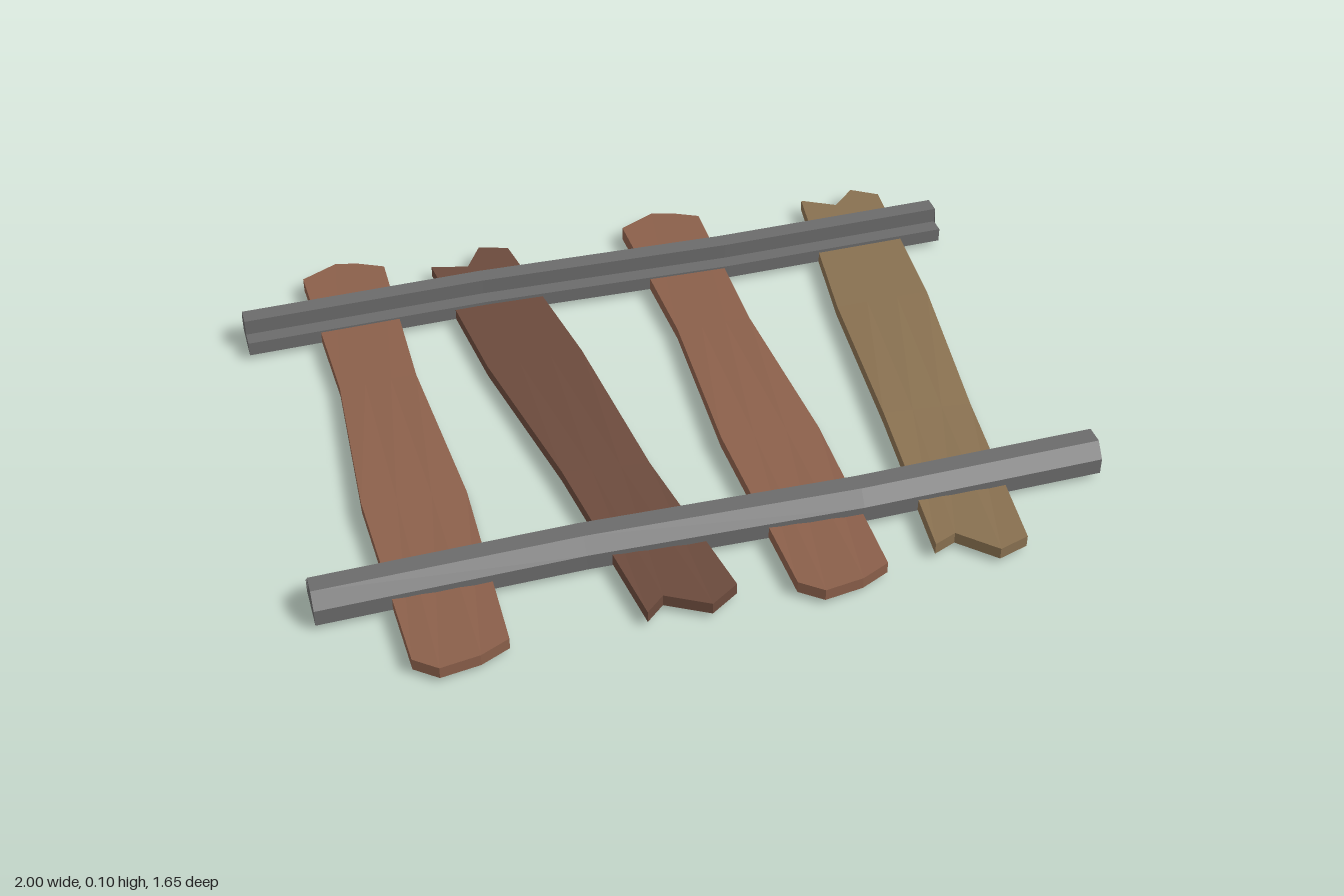
import * as THREE from 'three';

// Lofts sections along +z. Each section is a list of columns [bottom, top],
// ordered from -x to +x, every point being [x, y, z].
function loft(sections) {
  const pos = [];
  const quad = (a, b, c, d) => pos.push(...a, ...b, ...c, ...a, ...c, ...d);
  const n = sections[0].length;
  for (let s = 0; s < sections.length - 1; s++) {
    const p = sections[s], q = sections[s + 1];
    for (let i = 0; i < n - 1; i++) {
      quad(p[i][0], p[i + 1][0], q[i + 1][0], q[i][0]); // underside
      quad(p[i + 1][1], p[i][1], q[i][1], q[i + 1][1]); // top
    }
    quad(p[n - 1][0], p[n - 1][1], q[n - 1][1], q[n - 1][0]); // +x side
    quad(p[0][1], p[0][0], q[0][0], q[0][1]); // -x side
  }
  const first = sections[0], last = sections[sections.length - 1];
  for (let i = 0; i < n - 1; i++) {
    quad(first[i + 1][0], first[i][0], first[i][1], first[i + 1][1]);
    quad(last[i][0], last[i + 1][0], last[i + 1][1], last[i][1]);
  }
  const g = new THREE.BufferGeometry();
  g.setAttribute('position', new THREE.Float32BufferAttribute(pos, 3));
  g.computeVertexNormals();
  return g;
}

// Plank outline: four [x, z] points at each end, and [left, right, z] rows between
const straight = {
  back: [[-0.115, -0.78], [-0.015, -0.83], [0.045, -0.815], [0.115, -0.78]],
  mid: [[-0.1, 0.105, -0.27], [-0.13, 0.135, 0.22]],
  front: [[-0.115, 0.78], [-0.06, 0.825], [0.04, 0.81], [0.115, 0.775]],
  backLift: 0.008,
};
const splitDark = {
  back: [[-0.45, -0.75], [-0.35, -0.725], [-0.3, -0.81], [-0.22, -0.785]],
  mid: [[-0.4, -0.14, -0.25], [-0.32, -0.09, 0.24]],
  front: [[-0.25, 0.78], [-0.2, 0.735], [-0.095, 0.795], [-0.02, 0.745]],
  backLift: 0,
};
const splitTan = {
  back: [[0.67, -0.785], [0.76, -0.735], [0.83, -0.8], [0.9, -0.755]],
  mid: [[0.59, 0.855, -0.25], [0.54, 0.785, 0.24]],
  front: [[0.485, 0.745], [0.545, 0.72], [0.63, 0.805], [0.71, 0.78]],
  backLift: 0,
};

function plank(name, outline, x, color) {
  const { back, mid, front, backLift } = outline;
  const rows = [
    back,
    ...mid.map(([l, r, z]) => [0, 1, 2, 3].map(i => [l + (r - l) * i / 3, z])),
    front,
  ];
  const sections = rows.map((row, k) => row.map(([px, z], i) => {
    const twist = k === 2 ? 0.01 - 0.025 * i / 3 : 0; // warped near the front
    const top = 0.046 + twist + (k === 0 ? backLift : 0);
    return [[px + x, 0.015 + twist, z], [px + x, top, z]];
  }));
  const mesh = new THREE.Mesh(loft(sections),
    new THREE.MeshStandardMaterial({ color, flatShading: true }));
  mesh.name = name;
  return mesh;
}

// Rail profile columns from the stepped inner side outwards: [bottom u, top u, top y]
const profile = [
  [0, 0, 0.055], [0.03, 0.043, 0.055], [0.05, 0.043, 0.098],
  [0.092, 0.092, 0.098], [0.122, 0.122, 0.06],
];
const bends = [[-1, 0], [-0.34, -0.011], [0.36, 0.009], [1, 0]];

// side is +1 for the front rail and -1 for the back rail
function rail(name, side, inner) {
  const cols = side > 0 ? [...profile].reverse() : profile;
  const sections = bends.map(([x, dz]) => cols.map(([b, t, y]) => [
    [-(side * (inner + b) + dz), 0.016, x],
    [-(side * (inner + t) + dz), y, x],
  ]));
  const g = loft(sections);
  g.rotateY(Math.PI / 2); // run along x
  const mesh = new THREE.Mesh(g,
    new THREE.MeshStandardMaterial({ color: 0x6b6b6b, flatShading: true }));
  mesh.name = name;
  return mesh;
}

export function createModel() {
  const group = new THREE.Group();
  group.name = 'railTrack';
  group.add(
    plank('plankLeftOuter', straight, -0.695, 0x8a5f4a),
    plank('plankSplitDark', splitDark, 0, 0x6b4a3c),
    plank('plankMiddle', straight, 0.235, 0x8a5f4a),
    plank('plankSplitTan', splitTan, 0, 0x887050),
    rail('frontRail', 1, 0.455),
    rail('backRail', -1, 0.518),
  );
  return group;
}
